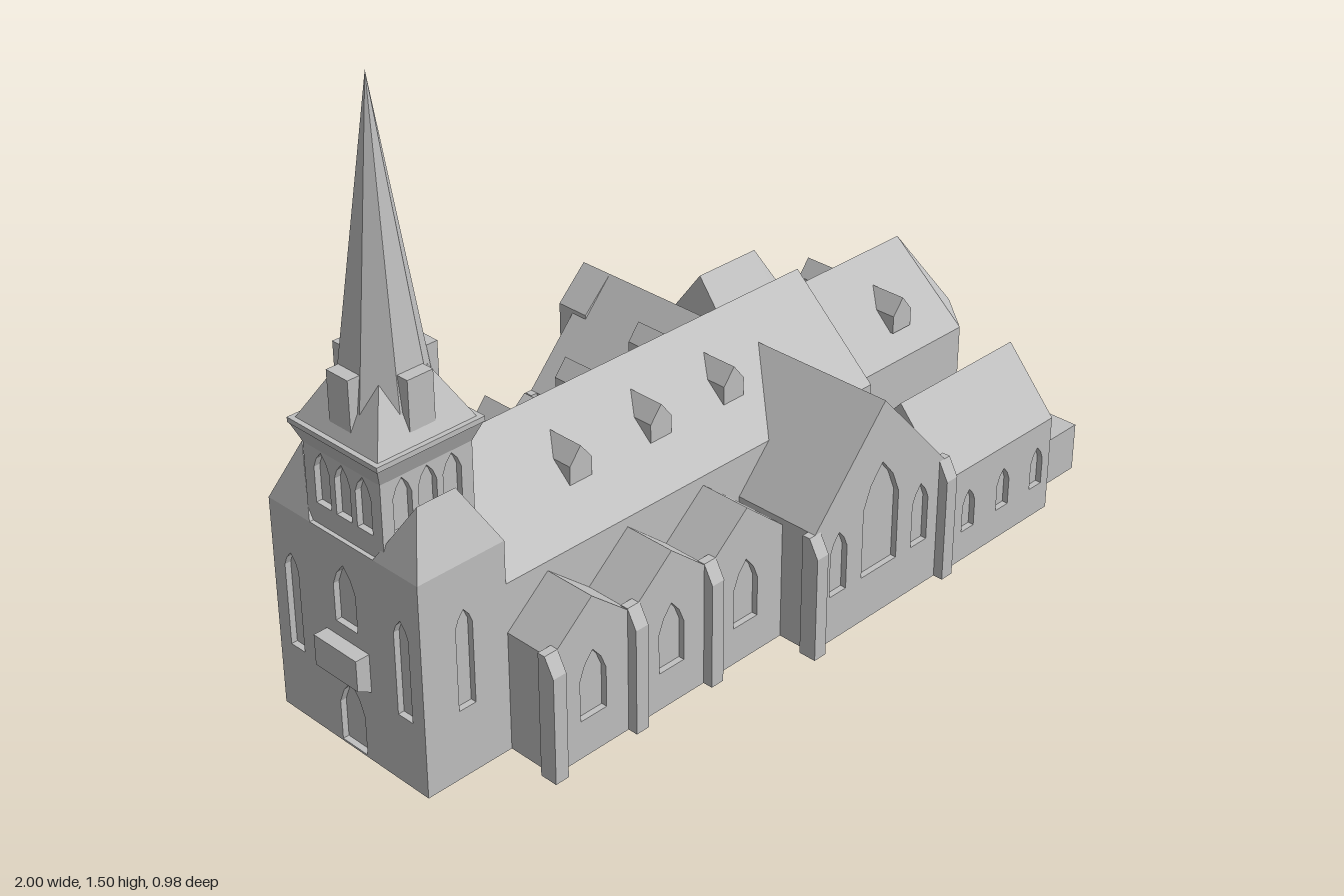
import * as THREE from 'three';
import { ConvexGeometry } from 'three/addons/geometries/ConvexGeometry.js';

const D = 0.015; // depth of window recesses

export function createModel() {
  const church = new THREE.Group();
  church.name = 'church';
  const stone = new THREE.MeshStandardMaterial({ color: 0xc0c0c0 });
  stone.name = 'stone grey';

  const add = (name, geo) => {
    const m = new THREE.Mesh(geo, stone);
    m.name = name;
    church.add(m);
    return m;
  };
  // Flat-faced solid spanned by corner points
  const hull = (name, pts) => add(name, new ConvexGeometry(pts.map(p => new THREE.Vector3(...p))));
  const box = (name, x0, x1, y0, y1, z0, z1) => {
    const m = add(name, new THREE.BoxGeometry(x1 - x0, y1 - y0, z1 - z0));
    m.position.set((x0 + x1) / 2, (y0 + y1) / 2, (z0 + z1) / 2);
    return m;
  };
  // Gabled block with its ridge along x or along z
  const gableX = (name, x0, x1, z0, z1, y0, eave, ridge) => hull(name, [x0, x1].flatMap(x =>
    [[x, y0, z0], [x, y0, z1], [x, eave, z0], [x, eave, z1], [x, ridge, (z0 + z1) / 2]]));
  const gableZ = (name, x0, x1, z0, z1, y0, eave, ridge) => hull(name, [z0, z1].flatMap(z =>
    [[x0, y0, z], [x1, y0, z], [x0, eave, z], [x1, eave, z], [(x0 + x1) / 2, ridge, z]]));

  // Pointed window opening
  const lancet = ([x, w, y0, y1]) => {
    const h = w / 2, s = Math.max(y0, y1 - w * 0.85);
    return new THREE.Path([[x - h, y0], [x - h, s], [x - h * 0.62, s + (y1 - s) * 0.55], [x, y1],
      [x + h * 0.62, s + (y1 - s) * 0.55], [x + h, s], [x + h, y0]].map(p => new THREE.Vector2(...p)));
  };
  // Wall facing between two ground points, outline and windows given along it
  const panel = (name, a, b, outline, wins = []) => {
    const shape = new THREE.Shape(outline.map(p => new THREE.Vector2(...p)));
    shape.holes = wins.map(lancet);
    const geo = new THREE.ExtrudeGeometry(shape, { depth: D, bevelEnabled: false });
    geo.translate(0, 0, -D);
    const m = add(name, geo);
    m.position.set(a[0], 0, a[1]);
    m.rotation.y = Math.atan2(-(b[1] - a[1]), b[0] - a[0]);
  };
  const wall = (name, a, b, y0, y1, wins) => {
    const L = Math.hypot(b[0] - a[0], b[1] - a[1]);
    panel(name, a, b, [[0, y0], [L, y0], [L, y1], [0, y1]], wins);
  };
  // Polygonal-ended building: core, facing walls and a hipped roof
  const polyHouse = (name, foot, c, eave, ridge, wins) => {
    const core = foot.map(([x, z]) => [c[0] + (x - c[0]) * 0.92, c[1] + (z - c[1]) * 0.88]);
    hull(name + 'Core', core.flatMap(([x, z]) => [[x, 0, z], [x, eave, z]]));
    hull(name + 'Roof', [...foot.map(([x, z]) => [x, eave, z]), ...ridge]);
    for (let i = 0; i < foot.length - 1; i++) wall(name + 'Wall', foot[i], foot[i + 1], 0, eave, wins[i]);
  };

  // Nave
  gableX('nave', -0.74, 0.405, -0.235, 0.235, 0, 0.415, 0.632);

  // Roof dormers
  const dormer = (x, y, s) => hull('dormer', [
    [x - 0.032, y, s * 0.15], [x + 0.032, y, s * 0.15],
    [x - 0.032, y + 0.045, s * 0.15], [x + 0.032, y + 0.045, s * 0.15], [x, y + 0.085, s * 0.15],
    [x - 0.032, y + 0.045, s * 0.09], [x + 0.032, y + 0.045, s * 0.09], [x, y + 0.085, s * 0.055],
    [x - 0.032, y, s * 0.09], [x + 0.032, y, s * 0.09]]);
  for (const s of [-1, 1]) {
    for (const x of [-0.44, -0.2, 0.03]) dormer(x, 0.495, s);
    dormer(0.615, 0.447, s);
  }

  // Side aisles with three cross gables each
  const ax0 = -0.735, ax1 = -0.04, bay = (ax1 - ax0) / 3;
  for (const [s, zw] of [[1, 0.365], [-1, 0.34]]) {
    const outline = [[0, 0], [3 * bay, 0]], wins = [];
    for (let i = 2; i >= 0; i--) {
      const x = ax0 + i * bay, zi = s * (zw - D);
      outline.push([(i + 1) * bay, 0.295], [(i + 0.5) * bay, 0.392]);
      wins.push([(i + 0.5) * bay, 0.075, 0.095, 0.26]);
      gableZ('aisleBay', x, x + bay, Math.min(s * 0.15, zi), Math.max(s * 0.15, zi), 0, 0.295, 0.392);
    }
    outline.push([0, 0.295]);
    const l = [ax0, s * zw], r = [ax1, s * zw];
    panel('aisleWall', s > 0 ? l : r, s > 0 ? r : l, outline, wins);
  }

  // Transept
  const tx0 = -0.04, tx1 = 0.405, tw = tx1 - tx0;
  gableZ('transept', tx0, tx1, -0.445 + D, 0.46 - D, 0, 0.31, 0.556);
  const gable = [[0, 0], [tw, 0], [tw, 0.31], [tw / 2, 0.556], [0, 0.31]];
  const sideWins = [[0.082, 0.055, 0.12, 0.28], [tw - 0.082, 0.055, 0.12, 0.28]];
  panel('southGable', [tx0, 0.46], [tx1, 0.46], gable, [...sideWins, [tw / 2, 0.12, 0.12, 0.4]]);
  panel('northGable', [tx1, -0.445], [tx0, -0.445], gable, sideWins);
  gableZ('northBay', 0.1, 0.265, -0.49 + D, -0.4, 0, 0.475, 0.556);
  panel('northBayWall', [0.265, -0.49], [0.1, -0.49],
    [[0, 0], [0.165, 0], [0.165, 0.475], [0.0825, 0.556], [0, 0.475]], [[0.0825, 0.11, 0.12, 0.4]]);

  // Buttresses with sloped tops
  const buttress = (x, z, s) => hull('buttress', [x - 0.018, x + 0.018].flatMap(bx => [
    [bx, 0, z - s * 0.02], [bx, 0, z + s * 0.025], [bx, 0.265, z + s * 0.025],
    [bx, 0.31, z], [bx, 0.31, z - s * 0.02]]));
  for (const x of [-0.735, -0.5, -0.27]) { buttress(x, 0.365, 1); buttress(x, -0.34, -1); }
  for (const x of [-0.04, 0.405]) { buttress(x, 0.46, 1); buttress(x, -0.445, -1); }

  // Chancel with three-sided apse
  const apseWin = L => [[L / 2, 0.06, 0.14, 0.34]];
  const diag = Math.hypot(0.095, 0.11);
  polyHouse('chancel', [[0.405, 0.19], [0.79, 0.19], [0.885, 0.08], [0.885, -0.08], [0.79, -0.19], [0.405, -0.19]],
    [0.55, 0], 0.4, [[0.405, 0.588, 0], [0.77, 0.588, 0]],
    [[], apseWin(diag), apseWin(0.16), apseWin(diag), []]);

  // North chapel
  polyHouse('chapel', [[0.405, -0.19], [0.6, -0.19], [0.69, -0.26], [0.69, -0.37], [0.6, -0.44], [0.405, -0.44]],
    [0.45, -0.315], 0.335, [[0.405, 0.5, -0.315], [0.6, 0.5, -0.315]],
    [[], [], [], [], [[0.05, 0.05, 0.12, 0.27], [0.14, 0.05, 0.12, 0.27]]]);

  // Vestry and low annex
  box('vestryCore', 0.4, 0.81, 0, 0.25, 0.15, 0.465 - D);
  gableX('vestryRoof', 0.4, 0.81, 0.193, 0.465, 0.249, 0.25, 0.405);
  wall('vestryWall', [0.405, 0.465], [0.81, 0.465], 0, 0.25,
    [0.095, 0.225, 0.355].map(x => [x, 0.045, 0.08, 0.188]));
  box('annex', 0.8, 1, 0, 0.125, 0.09, 0.405);

  // West front block
  const wx0 = -0.965, wx1 = -0.735, wz = 0.235;
  box('westBlock', wx0 + D, wx1, 0, 0.52, -wz + D, wz - D);
  const tall = x => [x, 0.045, 0.17, 0.41];
  wall('southWestWall', [wx0, wz], [wx1, wz], 0, 0.52, [tall(0.115)]);
  wall('northWestWall', [wx1, -wz], [wx0, -wz], 0, 0.52, [tall(0.115)]);
  wall('westWall', [wx0, -wz], [wx0, wz], 0, 0.52,
    [tall(0.06), tall(0.41), [wz, 0.07, 0.31, 0.46], [wz, 0.08, 0.005, 0.17]]);

  // Hipped roofs flanking the tower
  for (const s of [-1, 1]) {
    hull('flankRoof', [
      [wx0, 0.52, s * 0.235], [wx1, 0.52, s * 0.235], [wx0, 0.52, s * 0.1], [wx1, 0.52, s * 0.1],
      [-0.91, 0.655, s * 0.18], [-0.81, 0.655, s * 0.18]]);
  }

  // Canopy over the west door
  hull('doorCanopy', [-0.068, 0.068].flatMap(z => [
    [-0.955, 0.175, z], [-1, 0.2, z], [-1, 0.275, z], [-0.955, 0.275, z]]));

  // Tower belfry with three openings on each side
  const cx = -0.835, cz = 0.005, h = 0.12;
  const q = [[-h, h], [h, h], [h, -h], [-h, -h]].map(([x, z]) => [cx + x, cz + z]);
  box('towerCore', cx - h + D, cx + h - D, 0.4, 0.71, cz - h + D, cz + h - D);
  for (let i = 0; i < 4; i++) {
    wall('belfryWall', q[i], q[(i + 1) % 4], 0.5, 0.71, [-0.065, 0, 0.065].map(o => [h + o, 0.048, 0.57, 0.695]));
  }

  // Square frustum centred on the tower
  const frustum = (name, r0, y0, r1, y1) => hull(name, [[r0, y0], [r1, y1]].flatMap(([r, y]) =>
    [[-1, -1], [1, -1], [1, 1], [-1, 1]].map(([x, z]) => [cx + x * r, y, cz + z * r])));
  frustum('cornice', h, 0.7, 0.138, 0.745);
  frustum('corniceRim', 0.14, 0.745, 0.14, 0.757);
  frustum('spireBroach', 0.128, 0.757, 0.05, 0.9);

  // Octagonal spire
  const spireGeo = new THREE.ConeGeometry(0.104 / Math.cos(Math.PI / 8), 0.748, 8, 1, false, Math.PI / 8).toNonIndexed();
  spireGeo.computeVertexNormals();
  add('spire', spireGeo).position.set(cx, 0.757 + 0.374, cz);

  // Spire lucarnes
  for (let i = 0; i < 4; i++) {
    const a = i * Math.PI / 2;
    const m = add('lucarne', new THREE.BoxGeometry(0.066, 0.13, 0.06));
    m.position.set(cx + Math.sin(a) * 0.085, 0.833, cz + Math.cos(a) * 0.085);
    m.rotation.y = a;
  }
  return church;
}
